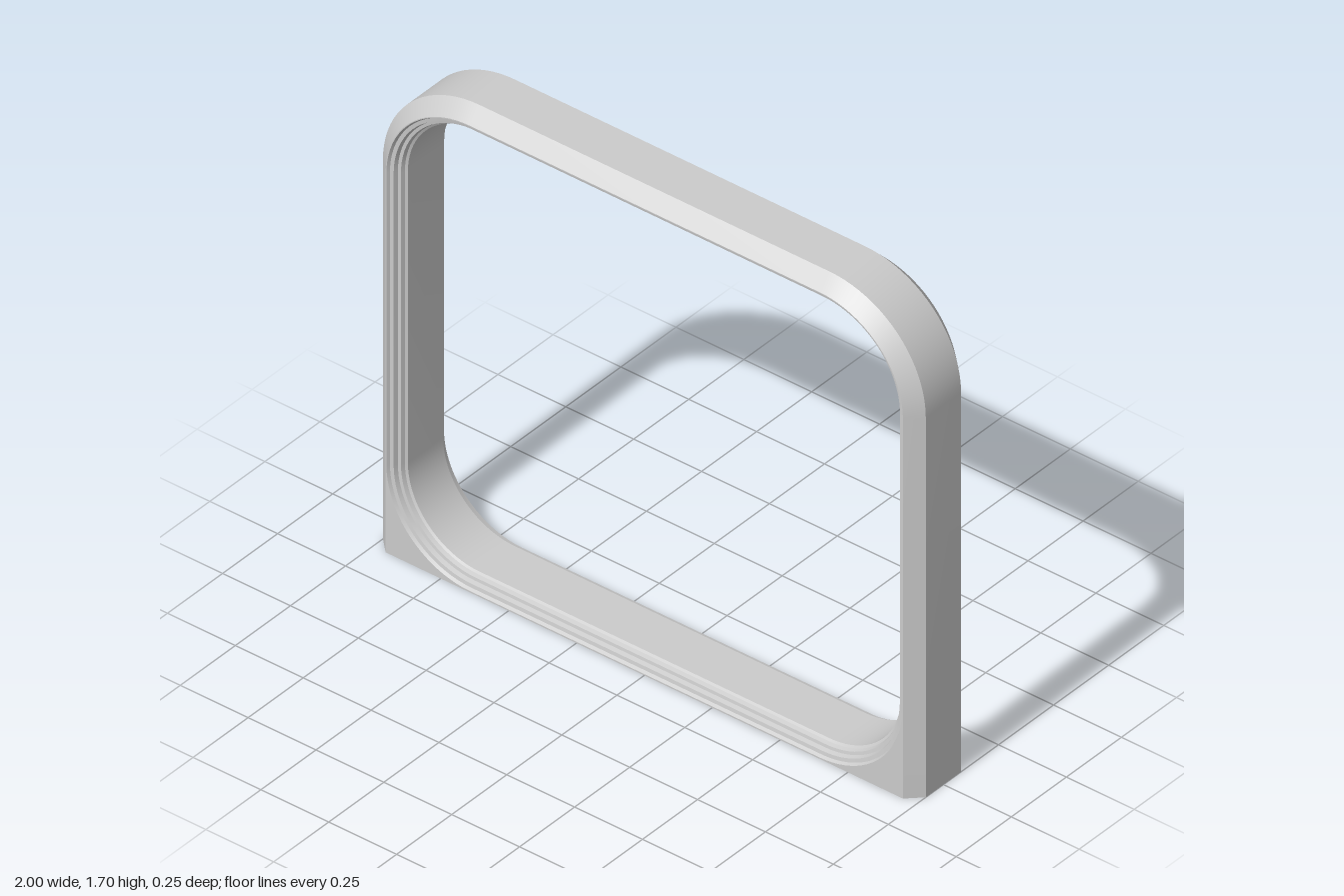
import * as THREE from 'three';
import { toCreasedNormals } from 'three/addons/utils/BufferGeometryUtils.js';

const CX = 0.645, TOP = 1.34, LOW = 0.31, SEG = 20;

// Counter-clockwise quarter arc around a corner centre
function arc(cx, cy, r, start) {
  return Array.from({ length: SEG + 1 }, (_, i) => {
    const a = start + (i / SEG) * Math.PI / 2;
    return new THREE.Vector2(cx + r * Math.cos(a), cy + r * Math.sin(a));
  });
}

// Arch outline: square feet, rounded top corners
function archLoop(r) {
  return [
    new THREE.Vector2(-CX - r, 0), new THREE.Vector2(CX + r, 0),
    ...arc(CX, TOP, r, 0), ...arc(-CX, TOP, r, Math.PI / 2),
  ];
}

// Opening outline: all four corners rounded
function openingLoop(r) {
  return [
    ...arc(CX, TOP, r, 0), ...arc(-CX, TOP, r, Math.PI / 2),
    ...arc(-CX, LOW, r, Math.PI), ...arc(CX, LOW, r, Math.PI * 1.5),
  ];
}

// Skin a profile of [radius, z] sections, listed front to back
function loft(makeLoop, profile, inward) {
  const pos = [];
  const rings = profile.map(([r, z]) => makeLoop(r).map(p => [p.x, p.y, z]));
  for (let k = 0; k < rings.length - 1; k++) {
    const f = rings[k], b = rings[k + 1], n = f.length;
    for (let i = 0; i < n; i++) {
      const j = (i + 1) % n;
      const q = inward ? [f[i], f[j], b[j], f[i], b[j], b[i]]
        : [f[i], b[j], f[j], f[i], b[i], b[j]];
      q.forEach(v => pos.push(...v));
    }
  }
  const g = new THREE.BufferGeometry();
  g.setAttribute('position', new THREE.Float32BufferAttribute(pos, 3));
  return toCreasedNormals(g, 0.35);
}

// Complete a front half profile with its mirrored back half
const mirrored = half => [...half, ...half.slice().reverse().map(([r, z]) => [r, -z])];

export function createModel() {
  const group = new THREE.Group();
  group.name = 'archFrame';
  const material = new THREE.MeshStandardMaterial({ color: 0xcccccc });
  const add = (name, geometry) => {
    const mesh = new THREE.Mesh(geometry, material);
    mesh.name = name;
    group.add(mesh);
    return mesh;
  };

  // Outer band, chamfered at front and back, with a flat base
  add('outerBand', loft(archLoop, mirrored([[0.308, 0.126], [0.355, 0.08]]), false));

  // Opening with a stepped moulding on both sides
  add('steppedOpening', loft(openingLoop, mirrored([
    [0.305, 0.126], [0.3, 0.116], [0.288, 0.114], [0.284, 0.1],
    [0.274, 0.098], [0.27, 0.085], [0.263, 0.08],
  ]), true));

  // Flat faces between the band and the opening
  const shape = new THREE.Shape(archLoop(0.308));
  shape.holes.push(new THREE.Path(openingLoop(0.305)));
  const face = new THREE.ShapeGeometry(shape);
  add('frontFace', face).position.z = 0.126;
  const back = add('backFace', face);
  back.position.z = -0.126;
  back.rotation.y = Math.PI;

  return group;
}
